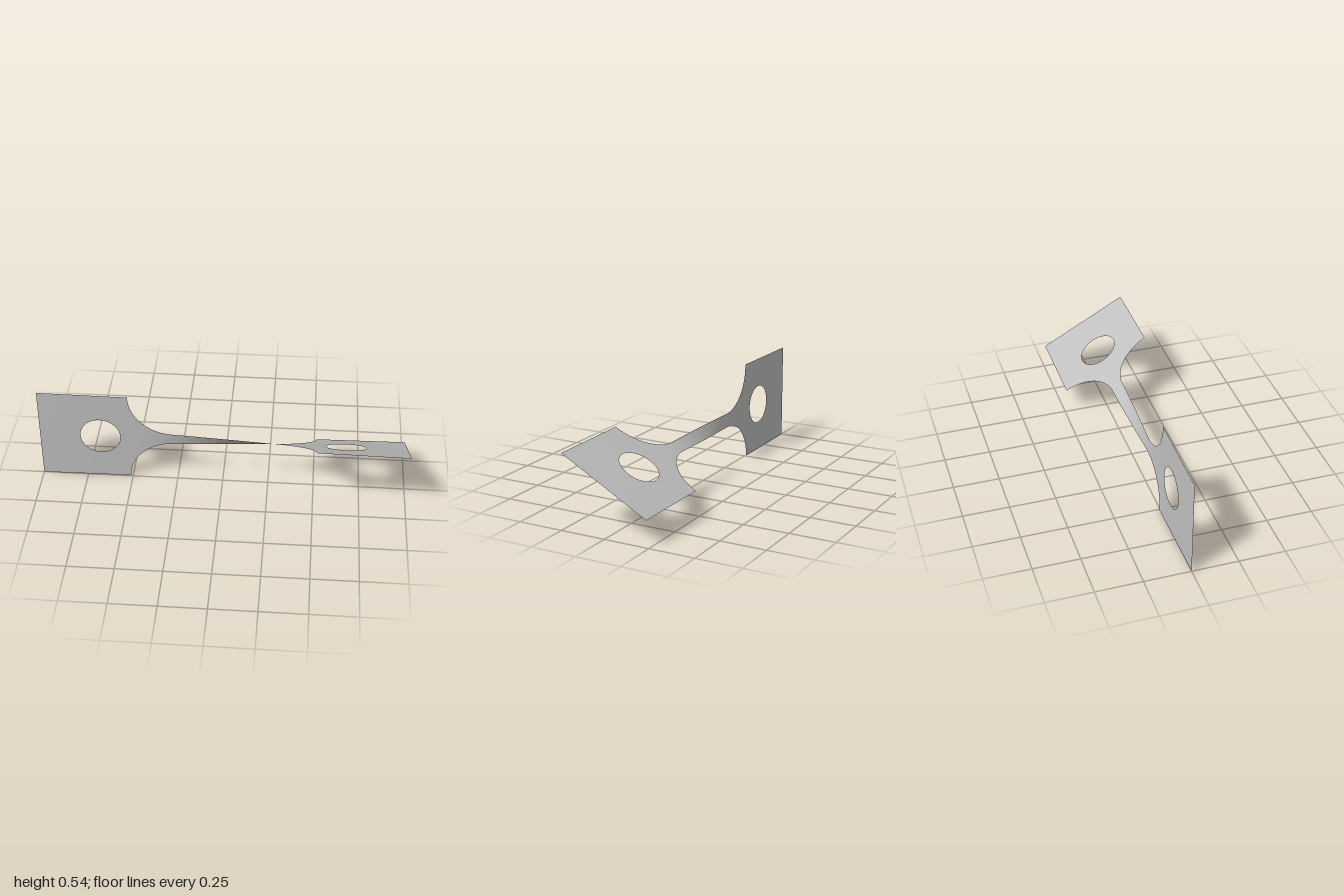
import * as THREE from 'three';
import { mergeVertices } from 'three/addons/utils/BufferGeometryUtils.js';

const HALF = 0.271;          // half width of the grips
const NECK = 0.036;          // half width of the slender gauge
const GRIP = 0.51, FILLET = 0.275;
const HOLE_X = 0.668, HOLE_R = 0.109;
const TWIST = THREE.MathUtils.degToRad(61.2);

// Half width of the flat outline: grip, concave fillet, gauge
function outer(x) {
  const a = Math.abs(x);
  if (a >= GRIP) return HALF;
  if (a <= FILLET) return NECK;
  const t = (a - FILLET) / (GRIP - FILLET);
  return HALF - (HALF - NECK) * Math.sqrt(1 - t * t);
}

// Half height of the round hole
function inner(x) {
  const d = Math.abs(x) - HOLE_X;
  return Math.sqrt(Math.max(0, HOLE_R * HOLE_R - d * d));
}

// Stations along the length, dense around the hole and the fillet
function stations() {
  const half = [];
  for (let i = 0; i < 24; i++) half.push(FILLET * i / 24);
  for (let i = 0; i < 32; i++) half.push(FILLET + (GRIP - FILLET) * Math.sin(i / 32 * Math.PI / 2));
  for (let i = 0; i < 4; i++) half.push(GRIP + (HOLE_X - HOLE_R - GRIP) * i / 4);
  for (let i = 0; i < 40; i++) half.push(HOLE_X - HOLE_R * Math.cos(i / 40 * Math.PI));
  for (let i = 0; i <= 10; i++) half.push(HOLE_X + HOLE_R + (1 - HOLE_X - HOLE_R) * i / 10);
  return [...half.slice(1).reverse().map(x => -x), ...half];
}

// Narrow sections twist more than wide ones
function twistAngles(xs) {
  const rate = x => Math.pow(outer(x), -1.7);
  const sums = [0];
  for (let i = 1; i < xs.length; i++) {
    sums.push(sums[i - 1] + (xs[i] - xs[i - 1]) * rate((xs[i] + xs[i - 1]) / 2));
  }
  const total = sums[sums.length - 1];
  return sums.map(s => TWIST * s / total);
}

function twistedSheet() {
  const xs = stations(), angles = twistAngles(xs), rows = 10;
  const positions = [], index = [];
  for (const side of [1, -1]) {
    const base = positions.length / 3;
    xs.forEach((x, i) => {
      const lo = inner(x), hi = outer(x);
      for (let j = 0; j <= rows; j++) {
        const v = side * (lo + (hi - lo) * j / rows);
        positions.push(x, HALF + v * Math.cos(angles[i]), v * Math.sin(angles[i]));
        if (i && j) {
          const d = base + i * (rows + 1) + j, c = d - 1, b = d - rows - 1, a = b - 1;
          if (side > 0) index.push(a, c, d, a, d, b);
          else index.push(a, d, c, a, b, d);
        }
      }
    });
  }
  const geometry = new THREE.BufferGeometry();
  geometry.setAttribute('position', new THREE.Float32BufferAttribute(positions, 3));
  geometry.setIndex(index);
  const merged = mergeVertices(geometry, 1e-5);
  merged.computeVertexNormals();
  return merged;
}

export function createModel() {
  const group = new THREE.Group();
  group.name = 'twistedTestStrip';
  const steel = new THREE.MeshStandardMaterial({ color: 0xc0c0c0, side: THREE.DoubleSide });
  steel.name = 'light grey';
  // One continuous sheet: two holed grips joined by a twisted neck
  const strip = new THREE.Mesh(twistedSheet(), steel);
  strip.name = 'twistedStrip';
  group.add(strip);
  return group;
}
